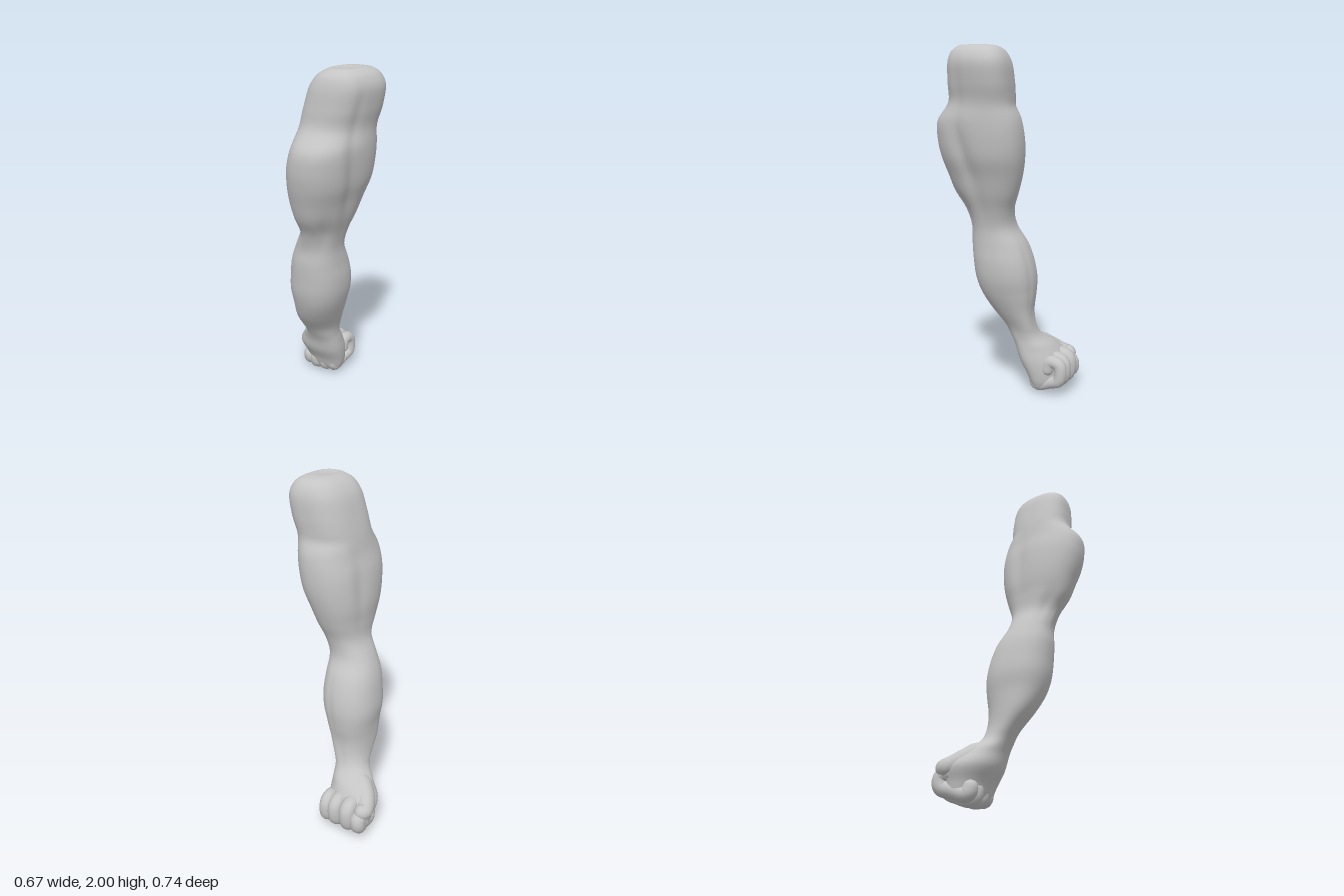
import * as THREE from 'three';
import { mergeVertices } from 'three/addons/utils/BufferGeometryUtils.js';

const skin = new THREE.MeshStandardMaterial({ color: 0xc4c4c4 });
skin.name = 'plain grey skin';

// Outline of the arm from fist to shoulder: [y, xMin, xMax, zMin, zMax]
const sections = [
  [0.028, -0.16, -0.16, -0.19, -0.19],
  [0.034, -0.25, -0.05, -0.25, -0.145],
  [0.06, -0.285, -0.025, -0.295, -0.124],
  [0.12, -0.3, -0.01, -0.305, -0.1],
  [0.2, -0.318, 0, -0.3, -0.055],
  [0.28, -0.26, -0.002, -0.25, -0.032],
  [0.34, -0.195, -0.002, -0.185, -0.003],
  [0.4, -0.18, 0.01, -0.16, 0.035],
  [0.5, -0.185, 0.05, -0.15, 0.11],
  [0.6, -0.19, 0.09, -0.16, 0.16],
  [0.7, -0.2, 0.12, -0.165, 0.19],
  [0.8, -0.19, 0.13, -0.15, 0.2],
  [0.9, -0.17, 0.125, -0.115, 0.205],
  [1.0, -0.13, 0.125, -0.06, 0.2],
  [1.1, -0.085, 0.15, -0.06, 0.225],
  [1.2, -0.085, 0.19, -0.095, 0.285],
  [1.3, -0.095, 0.225, -0.125, 0.32],
  [1.4, -0.095, 0.265, -0.145, 0.35],
  [1.5, -0.085, 0.285, -0.15, 0.365],
  [1.6, -0.06, 0.295, -0.14, 0.355],
  [1.7, -0.04, 0.295, -0.11, 0.28],
  [1.8, -0.015, 0.32, -0.11, 0.265],
  [1.9, 0.015, 0.335, -0.105, 0.255],
  [1.96, 0.055, 0.315, -0.08, 0.235],
  [1.99, 0.1, 0.28, -0.04, 0.2],
  [1.999, 0.13, 0.25, 0.02, 0.18],
  [1.994, 0.15, 0.22, 0.07, 0.155],
  [1.992, 0.18, 0.18, 0.11, 0.11],
];

// Sideways lean of the front of each section at a height: [y, lean]
const leans = [[0.25, 0.2], [0.42, -0.25], [0.65, -0.02], [0.95, -0.02], [1.2, -0.13], [1.6, -0.13], [1.75, -0.18]];

// Muscle relief: [y, angle, height spread, angle spread, depth, slope]
// Angle 0 is the inner side (+x), half pi is the front.
const relief = [
  [1.42, 0.15, 0.24, 0.17, -0.12, 0.6],  // groove between biceps and triceps, inner side
  [1.42, 3.4, 0.2, 0.2, -0.08, 0],       // groove behind the biceps, outer side
  [1.68, 4.3, 0.03, 0.7, -0.04, 0],      // lower edge of the shoulder muscle
  [1.12, 0.8, 0.1, 0.3, -0.08, 0],       // hollow inside the elbow
  [1.12, 2.4, 0.1, 0.3, -0.07, 0],       // hollow outside the elbow
  [1.07, 1.65, 0.07, 0.2, 0.04, 0],      // biceps tendon
  [1.8, 0.3, 0.14, 0.2, -0.05, 0],       // armpit
  [0.7, 5.0, 0.25, 0.14, -0.03, 0],      // forearm groove, back
  [0.45, 4.7, 0.1, 0.25, -0.05, 0],      // between the wrist tendons
];

function leanAt(y) {
  let lean = leans[0][1];
  for (let i = 1; i < leans.length; i++) {
    const k = THREE.MathUtils.smoothstep(y, leans[i - 1][0], leans[i][0]);
    lean += k * (leans[i][1] - leans[i - 1][1]);
  }
  return lean;
}

function armGeometry(rings = 160, sides = 80) {
  const curve = (ix, iz) => new THREE.CatmullRomCurve3(
    sections.map(s => new THREE.Vector3(s[ix], s[0], s[iz])), false, 'catmullrom', 0.5);
  const low = curve(1, 3), high = curve(2, 4);
  const pos = [], index = [];
  for (let j = 0; j <= rings; j++) {
    const a = low.getPoint(j / rings), b = high.getPoint(j / rings), y = a.y;
    const rx = (b.x - a.x) / 2, rz = (b.z - a.z) / 2;
    const lean = leanAt(y) * rx;
    const width = Math.sqrt(rx * rx - lean * lean);
    // The shoulder is squarer than the rest
    const power = 0.88 - 0.1 * THREE.MathUtils.smoothstep(y, 1.6, 1.8);
    const round = v => Math.sign(v) * Math.abs(v) ** power;
    for (let i = 0; i < sides; i++) {
      const t = i / sides * Math.PI * 2;
      let k = 1;
      for (const [y0, t0, sy, st, depth, slope] of relief) {
        const d = t - t0 - slope * (y - y0);
        const e = Math.atan2(Math.sin(d), Math.cos(d)) / st, h = (y - y0) / sy;
        k += depth * Math.exp(-e * e - h * h);
      }
      const c = round(Math.cos(t)), s = round(Math.sin(t));
      pos.push((a.x + b.x) / 2 + k * (width * c + lean * s), y, (a.z + b.z) / 2 + k * rz * s);
      if (j < rings) {
        const p = j * sides + i, q = j * sides + (i + 1) % sides;
        index.push(p, p + sides, q, q, p + sides, q + sides);
      }
    }
  }
  const g = new THREE.BufferGeometry();
  g.setAttribute('position', new THREE.Float32BufferAttribute(pos, 3));
  g.setIndex(index);
  return smooth(g);
}

function smooth(g) {
  g.deleteAttribute('normal');
  g.deleteAttribute('uv');
  const merged = mergeVertices(g, 1e-5);
  merged.computeVertexNormals();
  return merged;
}

// Round-ended tube through points [x, y, z, radius]
function digitGeometry(points, steps = 48, sides = 20) {
  const curve = new THREE.CatmullRomCurve3(points.map(p => new THREE.Vector3(p[0], p[1], p[2])));
  const g = new THREE.TubeGeometry(curve, steps, 1, sides);
  const length = curve.getLength(), pos = g.attributes.position, v = new THREE.Vector3();
  for (let i = 0; i < pos.count; i++) {
    const t = Math.floor(i / (sides + 1)) / steps;
    const f = t * (points.length - 1), n = Math.min(Math.floor(f), points.length - 2);
    const r = THREE.MathUtils.lerp(points[n][3], points[n + 1][3], f - n);
    const end = Math.min(1, Math.min(t, 1 - t) * length / r);
    const centre = curve.getPointAt(t);
    v.fromBufferAttribute(pos, i).sub(centre).multiplyScalar(r * Math.sqrt(1 - (1 - end) ** 2)).add(centre);
    pos.setXYZ(i, v.x, v.y, v.z);
  }
  return smooth(g);
}

export function createModel() {
  const model = new THREE.Group();
  model.name = 'armWithFist';
  const add = (name, geometry) => {
    const mesh = new THREE.Mesh(geometry, skin);
    mesh.name = name;
    model.add(mesh);
  };

  add('armAndPalm', armGeometry());

  // Curled fingers: [name, knuckle x, outer x, radius, lift, top height]
  const fingers = [
    ['indexFinger', -0.245, -0.268, 0.045, 0.012, 0.15],
    ['middleFinger', -0.192, -0.198, 0.047, 0, 0.19],
    ['ringFinger', -0.128, -0.116, 0.042, 0, 0.19],
    ['littleFinger', -0.07, -0.053, 0.037, 0.008, 0.19],
  ];
  for (const [name, x0, x1, r, lift, top] of fingers) {
    add(name, digitGeometry([
      [x0, 0.13, -0.15, r * 0.8],
      [x0, 0.046 + lift, -0.17, r],
      [(x0 + x1) / 2, 0.068 + lift, -0.26, r * 0.95],
      [x1, 0.1, -0.313, r],
      [x1, top, -0.313, r],
      [x1, top + 0.015, -0.255, r],
      [x1, 0.12, -0.235, r],
    ]));
  }

  // Thumb folded over the index finger
  add('thumb', digitGeometry([
    [-0.15, 0.31, -0.12, 0.045],
    [-0.22, 0.25, -0.17, 0.06],
    [-0.272, 0.205, -0.235, 0.058],
    [-0.285, 0.19, -0.285, 0.05],
    [-0.235, 0.195, -0.3, 0.045],
  ]));

  return model;
}
